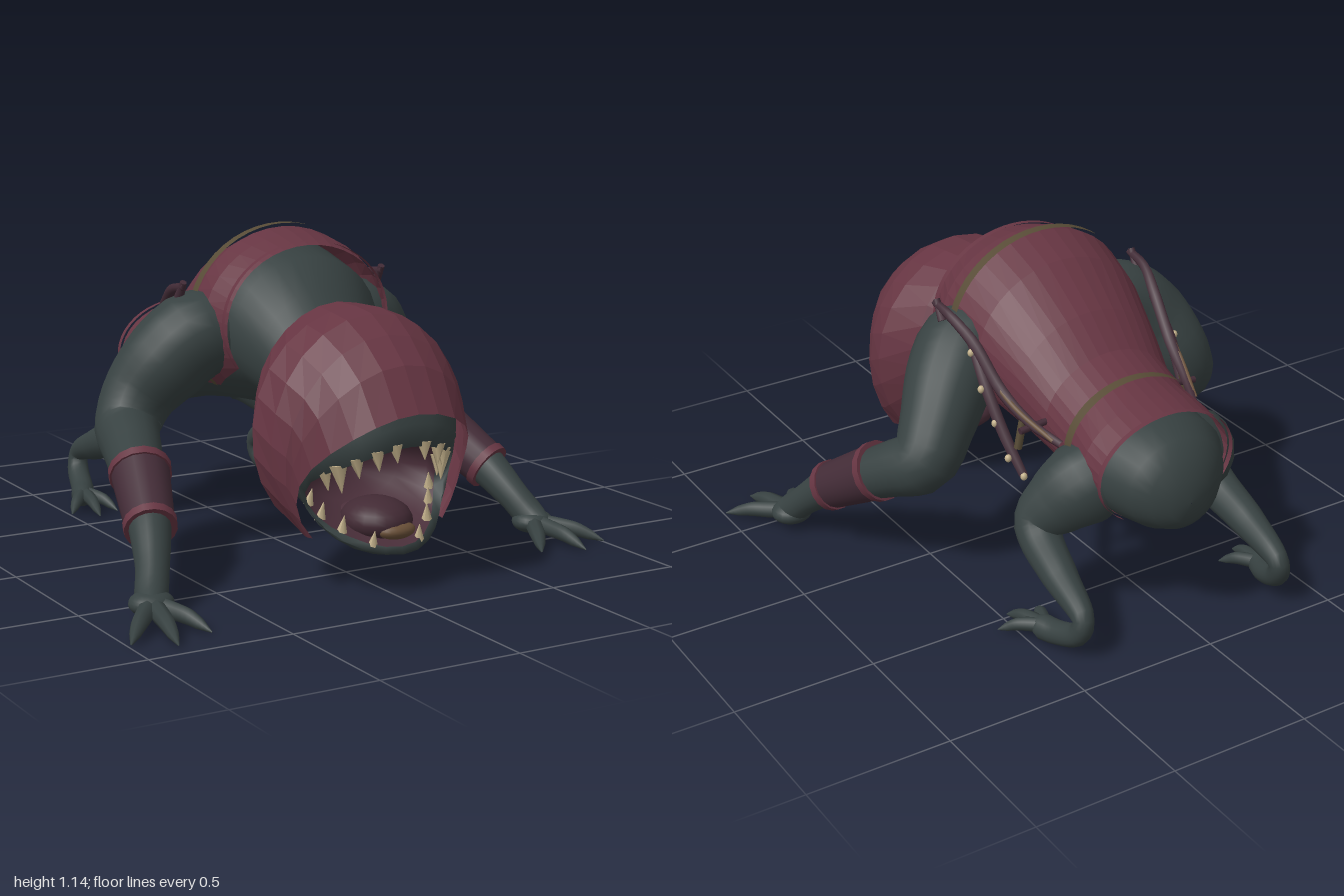
import * as THREE from 'three';

const mat = (name, color, side = THREE.FrontSide) => {
  const m = new THREE.MeshStandardMaterial({ color, side });
  m.name = name;
  return m;
};
const V = (a) => new THREE.Vector3(...a);

// A ring is [topZ, topY, bottomZ, bottomY, halfWidth, bow, sweep in degrees each side of the top]
function ringPoint([tz, ty, bz, by, w, bow = 0], t) {
  const c = Math.cos(t), s = Math.sin(t);
  return [w * s, (ty + by) / 2 + c * (ty - by) / 2, (tz + bz) / 2 + c * (tz - bz) / 2 + bow * s ** (c < 0 ? 2 : 4)];
}

// Skin a list of rings ordered from back to front; rings with a sweep stay open below
function loft(rings, seg = 28, flat = false) {
  const open = rings[0][6] !== undefined, cols = open ? seg + 1 : seg;
  const pos = [], idx = [];
  for (const r of rings) {
    const m = THREE.MathUtils.degToRad(open ? r[6] : 180);
    for (let j = 0; j < cols; j++) pos.push(...ringPoint(r, -m + 2 * m * j / seg));
  }
  for (let i = 0; i < rings.length - 1; i++) for (let j = 0; j < seg; j++) {
    const k = (j + 1) % cols, a = i * cols + j, b = a + cols, c = i * cols + k, d = c + cols;
    idx.push(a, b, c, c, b, d);
  }
  let g = new THREE.BufferGeometry();
  g.setAttribute('position', new THREE.Float32BufferAttribute(pos, 3));
  g.setIndex(idx);
  if (flat) g = g.toNonIndexed();
  g.computeVertexNormals();
  return g;
}

// Tube of changing radius through [x, y, z, radius] points
function limb(pts, seg = 32, sides = 14) {
  const curve = new THREE.CatmullRomCurve3(pts.map((p) => new THREE.Vector3(p[0], p[1], p[2])), false, 'centripetal');
  const g = new THREE.TubeGeometry(curve, seg, 1, sides);
  const pos = g.attributes.position, v = new THREE.Vector3();
  for (let i = 0; i <= seg; i++) {
    const f = curve.getUtoTmapping(i / seg) * (pts.length - 1);
    const k = Math.min(Math.floor(f), pts.length - 2);
    const r = THREE.MathUtils.lerp(pts[k][3], pts[k + 1][3], f - k), c = curve.getPointAt(i / seg);
    for (let j = 0; j <= sides; j++) {
      const n = i * (sides + 1) + j;
      v.fromBufferAttribute(pos, n).sub(c).multiplyScalar(r).add(c);
      pos.setXYZ(n, v.x, v.y, v.z);
    }
  }
  return g;
}

export function createModel() {
  const root = new THREE.Group();
  root.name = 'hoodedBeast';
  const skin = mat('darkSkin', 0x374141);
  const cloth = mat('maroonCloth', 0x663542, THREE.DoubleSide);
  const leather = mat('purpleLeather', 0x432c37);
  const olive = mat('oliveBand', 0x574b36);
  const bone = mat('bone', 0xc2b08a);
  const flesh = mat('mouthFlesh', 0x4a2f3a);
  const tongueMat = mat('tongue', 0x422a34);
  const brown = mat('brownPatch', 0x6a5038);

  const add = (name, geo, m, parent = root) => {
    const mesh = new THREE.Mesh(geo, m);
    mesh.name = name;
    parent.add(mesh);
    return mesh;
  };
  const rod = (name, a, b, ra, rb, m, parent, sides = 16) => {
    const A = V(a), B = V(b), d = B.clone().sub(A);
    const mesh = add(name, new THREE.CylinderGeometry(rb, ra, d.length(), sides), m, parent);
    mesh.position.copy(A).add(B).multiplyScalar(0.5);
    mesh.quaternion.setFromUnitVectors(new THREE.Vector3(0, 1, 0), d.normalize());
    return mesh;
  };
  const ball = (name, p, s, m, parent) => {
    const mesh = add(name, new THREE.SphereGeometry(1, 20, 14), m, parent);
    mesh.position.set(...p);
    mesh.scale.set(...s);
    return mesh;
  };

  // Trunk sits slightly to the model's left of the limbs
  const body = new THREE.Group();
  body.name = 'body';
  body.position.x = 0.025;
  root.add(body);

  // Torso, from rump to neck
  add('torso', loft([
    [-0.905, 0.505, -0.905, 0.5, 0.001], [-0.9, 0.59, -0.9, 0.43, 0.08], [-0.865, 0.655, -0.87, 0.395, 0.14],
    [-0.82, 0.7, -0.82, 0.375, 0.19], [-0.74, 0.735, -0.74, 0.375, 0.238], [-0.56, 0.77, -0.56, 0.42, 0.225],
    [-0.4, 0.83, -0.4, 0.45, 0.235], [-0.2, 0.98, -0.2, 0.48, 0.28], [0, 1.09, 0, 0.5, 0.32],
    [0.19, 1.045, 0.18, 0.53, 0.29], [0.3, 0.94, 0.25, 0.5, 0.23], [0.42, 0.8, 0.36, 0.45, 0.18],
  ]), skin, body);

  // Back garment with its hems and bands
  add('backGarment', loft([
    [-0.75, 0.757, -0.75, 0.385, 0.256, 0, 140], [-0.66, 0.775, -0.66, 0.4, 0.264, 0, 138],
    [-0.56, 0.8, -0.56, 0.41, 0.25, 0, 135], [-0.42, 0.85, -0.42, 0.43, 0.258, 0, 132],
    [-0.3, 0.95, -0.3, 0.46, 0.29, 0, 132], [-0.12, 1.075, -0.12, 0.49, 0.335, 0, 135],
    [0.02, 1.13, 0.02, 0.5, 0.355, 0, 136], [0.1, 1.115, 0.1, 0.52, 0.355, 0, 130], [0.2, 1.085, 0.2, 0.55, 0.318, 0, 121],
  ], 28, true), cloth, body);
  const band = (name, m, z, w, top, bottom, hw, sweep) => add(name, loft([
    [z - w, top, z - w, bottom, hw, 0, sweep], [z + w, top, z + w, bottom, hw, 0, sweep],
  ], 36), m, body);
  band('shoulderBand', olive, 0.015, 0.018, 1.143, 0.49, 0.365, 134);
  band('waistBand', olive, -0.56, 0.018, 0.814, 0.4, 0.261, 132);
  band('rearHem', cloth, -0.757, 0.01, 0.766, 0.38, 0.265, 140);
  band('frontHem', cloth, 0.187, 0.01, 1.097, 0.55, 0.327, 121);

  // Head: skin, mouth, tongue, teeth and hood
  const head = new THREE.Group();
  head.name = 'head';
  head.position.x = 0.005;
  body.add(head);
  const lip = [0.85, 0.505, 0.8, 0.16, 0.255, -0.22];
  add('skull', loft([
    [0.34, 0.74, 0.3, 0.48, 0.12], [0.37, 0.87, 0.36, 0.34, 0.25], [0.5, 0.89, 0.48, 0.24, 0.35],
    [0.6, 0.88, 0.57, 0.18, 0.34], [0.7, 0.82, 0.65, 0.145, 0.32, -0.04], [0.8, 0.72, 0.74, 0.12, 0.305, -0.14],
    [0.87, 0.585, 0.81, 0.135, 0.285, -0.22], lip,
  ]), skin, head);
  add('mouthCavity', loft([
    lip, [0.7, 0.52, 0.68, 0.19, 0.245, -0.12], [0.5, 0.47, 0.5, 0.25, 0.18], [0.46, 0.36, 0.46, 0.355, 0.001],
  ]), flesh, head);
  ball('tongue', [0, 0.22, 0.64], [0.12, 0.075, 0.13], tongueMat, head);
  ball('tonguePatch', [0.015, 0.2, 0.74], [0.07, 0.03, 0.045], brown, head);
  ball('throatPouch', [0, 0.2, 0.55], [0.12, 0.06, 0.1], flesh, head);
  const tooth = (deg, len, r, dir) => {
    const p = ringPoint(lip, THREE.MathUtils.degToRad(deg));
    p[0] *= 0.95;
    rod('tooth', [p[0], p[1] - dir * 0.015, p[2] - 0.01], [p[0] * 0.96, p[1] + dir * len, p[2]], r, 0.001, bone, head, 6);
  };
  for (const s of [-1, 1]) {
    [[13, 0.045, 0.026], [29, 0.05, 0.026], [44, 0.05, 0.026], [56, 0.08, 0.032], [66, 0.055, 0.026]]
      .forEach(([d, l, r]) => tooth(s * d, l, r, -1));
    [[100, 0.04, 0.018], [118, 0.05, 0.02], [136, 0.055, 0.022], [158, 0.045, 0.02]]
      .forEach(([d, l, r]) => tooth(s * d, l, r, 1));
  }
  add('hood', loft([
    [0.335, 0.885, 0.3, 0.36, 0.2, -0.05, 118], [0.385, 0.915, 0.36, 0.26, 0.3, -0.02, 125],
    [0.5, 0.917, 0.48, 0.12, 0.39, 0, 129], [0.6, 0.905, 0.57, 0.08, 0.372, 0, 134],
    [0.7, 0.85, 0.62, 0.05, 0.35, -0.02, 131], [0.8, 0.765, 0.66, 0.05, 0.335, -0.08, 128],
    [0.89, 0.62, 0.7, 0.08, 0.32, -0.13, 127],
  ], 18, true), cloth, head);

  // Fingers and toes arch from the palm to a pointed claw
  const digits = (name, from, tips, r) => tips.forEach(([x, z]) => {
    const at = (k, y, rr) => [from[0] + (x - from[0]) * k, y, from[2] + (z - from[2]) * k, rr];
    add(name, limb([at(0, from[1], r), at(0.35, 0.05, r * 0.95), at(0.6, 0.042, r * 0.85), at(0.8, 0.026, r * 0.6), at(1, 0.008, 0.002)], 14, 8), skin);
  });

  // Arms, each in its own pose
  const arms = {
    leftArm: {
      path: [[0.2, 0.78, 0.02, 0.14], [0.33, 0.77, 0.02, 0.16], [0.42, 0.69, -0.03, 0.155], [0.51, 0.56, -0.09, 0.13],
        [0.575, 0.46, -0.115, 0.115], [0.635, 0.4, -0.02, 0.1], [0.7, 0.32, 0.12, 0.085], [0.745, 0.24, 0.25, 0.072],
        [0.79, 0.14, 0.37, 0.055], [0.82, 0.075, 0.44, 0.055], [0.84, 0.045, 0.49, 0.035], [0.845, 0.04, 0.51, 0.002]],
      cuff: [[0.665, 0.365, 0.05], [0.752, 0.232, 0.26]], palm: [0.82, 0.06, 0.445],
      tips: [[0.71, 0.655], [0.865, 0.705], [0.995, 0.64]],
    },
    rightArm: {
      path: [[-0.2, 0.78, 0.02, 0.14], [-0.33, 0.77, 0.02, 0.16], [-0.42, 0.69, -0.01, 0.155], [-0.5, 0.57, -0.06, 0.13],
        [-0.555, 0.47, -0.04, 0.115], [-0.6, 0.41, 0.09, 0.1], [-0.66, 0.34, 0.27, 0.085], [-0.71, 0.25, 0.43, 0.072],
        [-0.765, 0.14, 0.56, 0.055], [-0.81, 0.075, 0.64, 0.055], [-0.84, 0.045, 0.7, 0.035], [-0.85, 0.04, 0.715, 0.002]],
      cuff: [[-0.635, 0.37, 0.215], [-0.71, 0.24, 0.44]], palm: [-0.82, 0.06, 0.66],
      tips: [[-0.995, 0.87], [-0.87, 0.945], [-0.72, 0.88]],
    },
  };
  for (const [name, a] of Object.entries(arms)) {
    add(name, limb(a.path, 40, 18), skin);
    const [p, q] = a.cuff, at = (k) => p.map((c, i) => c + (q[i] - c) * k);
    rod('cuff', p, q, 0.101, 0.083, leather);
    rod('cuffRim', at(-0.03), at(0.08), 0.108, 0.106, cloth);
    rod('cuffRim', at(0.92), at(1.03), 0.091, 0.089, cloth);
    ball('palm', a.palm, [0.075, 0.042, 0.07], skin);
    digits('finger', a.palm, a.tips, 0.032);
  }

  // Hind legs
  const legs = {
    leftLeg: {
      path: [[0.16, 0.54, -0.62, 0.13], [0.25, 0.5, -0.6, 0.145], [0.31, 0.43, -0.55, 0.118], [0.36, 0.35, -0.505, 0.085],
        [0.375, 0.3, -0.54, 0.075], [0.39, 0.23, -0.68, 0.062], [0.4, 0.145, -0.84, 0.036], [0.41, 0.09, -0.825, 0.04],
        [0.43, 0.05, -0.73, 0.042], [0.45, 0.045, -0.66, 0.045], [0.455, 0.04, -0.63, 0.005]],
      palm: [0.445, 0.055, -0.68], tips: [[0.555, -0.555], [0.48, -0.49], [0.38, -0.52]],
    },
    rightLeg: {
      path: [[-0.12, 0.54, -0.62, 0.13], [-0.2, 0.5, -0.6, 0.145], [-0.26, 0.43, -0.56, 0.118], [-0.31, 0.35, -0.515, 0.085],
        [-0.33, 0.3, -0.57, 0.075], [-0.34, 0.24, -0.74, 0.06], [-0.34, 0.165, -0.92, 0.035], [-0.35, 0.11, -0.905, 0.04],
        [-0.38, 0.055, -0.8, 0.042], [-0.41, 0.045, -0.73, 0.045], [-0.415, 0.04, -0.7, 0.005]],
      palm: [-0.4, 0.055, -0.75], tips: [[-0.5, -0.635], [-0.42, -0.56], [-0.33, -0.6]],
    },
  };
  for (const [name, l] of Object.entries(legs)) {
    add(name, limb(l.path, 44, 16), skin);
    digits('toe', l.palm, l.tips, 0.026);
  }

  // Harness straps, buckles and bone charms on both flanks
  for (const s of [-1, 1]) {
    const side = new THREE.Group();
    side.name = s > 0 ? 'leftHarness' : 'rightHarness';
    body.add(side);
    const m = (p) => [p[0] * s, ...p.slice(1)];
    const strap = (name, pts, mt) => add(name, limb(pts.map(m), 20, 6), mt, side);
    strap('upperStrap', [[0.4, 0.95, 0.05, 0.014], [0.395, 0.93, -0.05, 0.018], [0.37, 0.87, -0.15, 0.022],
      [0.345, 0.74, -0.29, 0.022], [0.315, 0.67, -0.42, 0.018], [0.27, 0.63, -0.54, 0.014]], leather);
    strap('lowerStrap', [[0.37, 0.86, -0.14, 0.016], [0.375, 0.74, -0.24, 0.022], [0.365, 0.6, -0.34, 0.022], [0.345, 0.48, -0.43, 0.016]], leather);
    strap('crossCord', [[0.37, 0.82, -0.18, 0.008], [0.34, 0.71, -0.36, 0.009], [0.29, 0.64, -0.52, 0.008]], brown);
    strap('hangingStrap', [[0.325, 0.67, -0.39, 0.014], [0.345, 0.57, -0.39, 0.014]], olive);
    rod('crossBar', m([0.25, 0.66, -0.42]), m([0.355, 0.65, -0.42]), 0.012, 0.012, leather, side, 8);
    rod('strapEnd', m([0.4, 0.9, 0]), m([0.4, 0.965, 0.04]), 0.018, 0.012, leather, side, 8);
    [[0.385, 0.84, -0.16], [0.395, 0.74, -0.24], [0.385, 0.64, -0.31], [0.38, 0.54, -0.385], [0.35, 0.485, -0.435]]
      .forEach((p) => ball('boneCharm', m(p), [0.012, 0.014, 0.012], bone, side));
  }
  return root;
}
